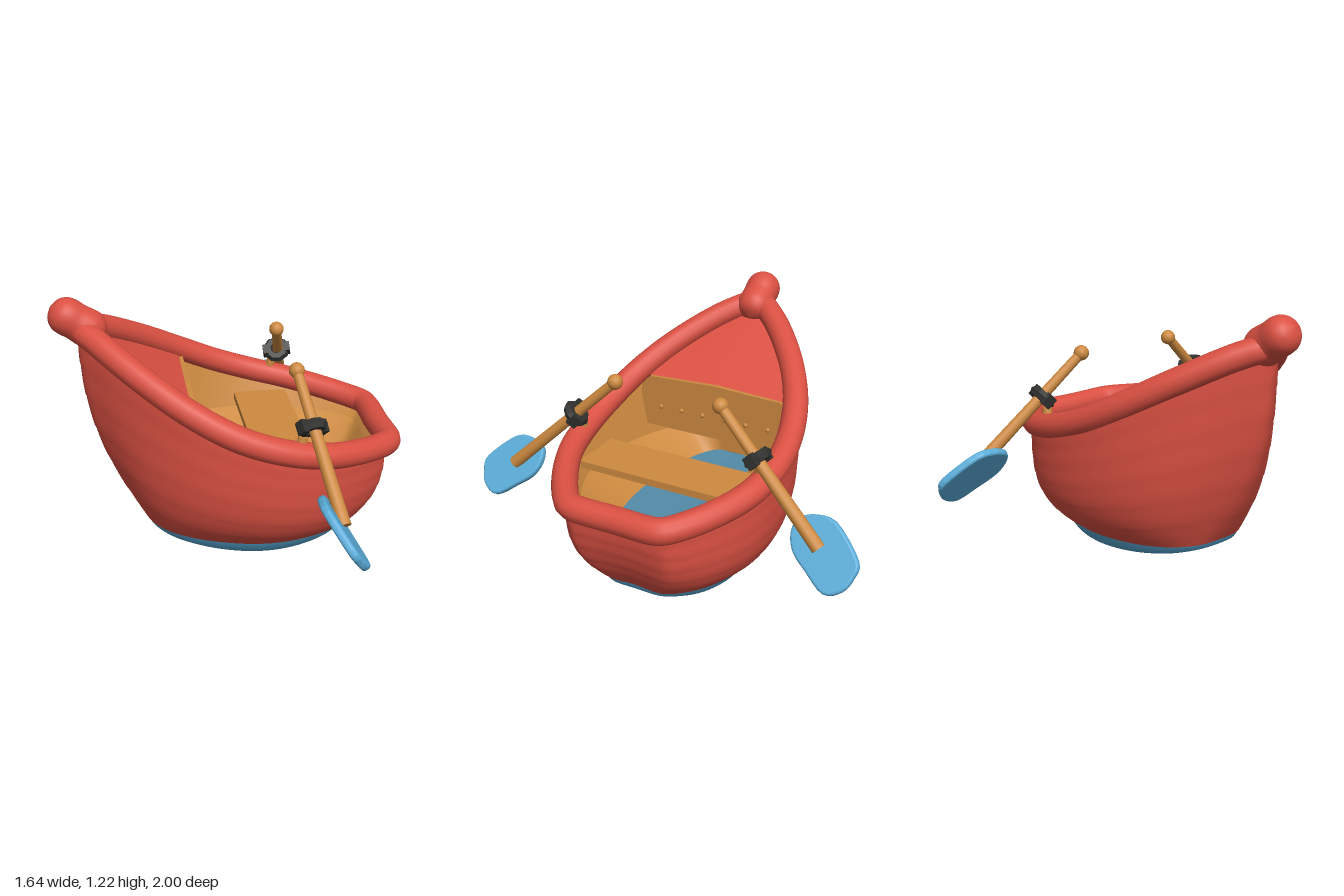
import * as THREE from 'three';

const mat = (name, color, side = THREE.FrontSide) => {
  const m = new THREE.MeshStandardMaterial({ color, side });
  m.name = name;
  return m;
};

const V = (x, y, z) => new THREE.Vector3(x, y, z);
const N = 120; // samples around each closed outline

// Half outline (bow to stern on +z), mirrored into a closed smooth curve
function outline(half) {
  const pts = half.map(p => V(...p));
  for (let i = half.length - 2; i > 0; i--) pts.push(V(half[i][0], half[i][1], -half[i][2]));
  return new THREE.CatmullRomCurve3(pts, true);
}
const sample = curve => Array.from({ length: N }, (_, i) => curve.getPoint(i / N));

// Skin a stack of rings; open rings are used for the deck
function loft(rings, closed = true) {
  const n = rings[0].length, index = [];
  for (let j = 0; j < rings.length - 1; j++) {
    for (let i = 0; i < (closed ? n : n - 1); i++) {
      const k = (i + 1) % n, a = j * n + i, b = j * n + k, c = b + n, d = a + n;
      index.push(a, b, c, a, c, d);
    }
  }
  const g = new THREE.BufferGeometry();
  g.setAttribute('position', new THREE.Float32BufferAttribute(rings.flat().flatMap(p => [p.x, p.y, p.z]), 3));
  g.setIndex(index);
  g.computeVertexNormals();
  return g;
}

// Turn geometry built along +y to run from a towards b
const aim = (g, a, b) => g
  .applyQuaternion(new THREE.Quaternion().setFromUnitVectors(V(0, 1, 0), b.clone().sub(a).normalize()))
  .translate(a.x, a.y, a.z);

// Tapered rod between two points
function rod(a, b, ra, rb, sides = 12) {
  const length = a.distanceTo(b);
  return aim(new THREE.CylinderGeometry(rb, ra, length, sides).translate(0, length / 2, 0), a, b);
}

export function createModel() {
  const red = mat('red paint', 0xda5042, THREE.DoubleSide);
  const wood = mat('wood', 0xcd8a40, THREE.DoubleSide);
  const blue = mat('blue paint', 0x5aacd8);
  const floorBlue = mat('floor blue', 0x548ca8, THREE.DoubleSide);
  const iron = mat('dark iron', 0x31322f);
  iron.flatShading = true;

  const boat = new THREE.Group();
  boat.name = 'rowingBoat';
  const add = (name, geo, material, parent = boat) => {
    const m = new THREE.Mesh(geo, material);
    m.name = name;
    parent.add(m);
  };

  // Key outlines: centre line of the gunwale and edge of the keel plate
  const rimCurve = outline([
    [-0.675, 1.075, 0], [-0.6, 1.04, 0.115], [-0.4, 0.917, 0.305], [-0.2, 0.797, 0.427],
    [0, 0.695, 0.487], [0.2, 0.625, 0.499], [0.4, 0.578, 0.464], [0.6, 0.541, 0.362],
    [0.738, 0.52, 0.25], [0.757, 0.517, 0.21], [0.757, 0.515, 0]]);
  const rim = sample(rimCurve);
  const base = sample(outline([
    [-0.41, 0.11, 0], [-0.39, 0.105, 0.12], [-0.31, 0.095, 0.22], [-0.17, 0.08, 0.29],
    [0, 0.07, 0.335], [0.15, 0.065, 0.35], [0.3, 0.065, 0.335], [0.46, 0.07, 0.28],
    [0.55, 0.075, 0.21], [0.6, 0.08, 0.14], [0.605, 0.088, 0]]));

  // Hull: rings bulge outward from keel plate to gunwale, with slightly overlapping planks
  const hullTop = rim.map(p => V(p.x - 0.02 * Math.abs(p.x), p.y, p.z * 1.06));
  const hullRing = (t, swell) => base.map((b, i) => {
    const r = hullTop[i];
    const power = 2.4 + 2 * THREE.MathUtils.smoothstep(Math.abs(r.z), 0.1, 0.45);
    const f = 1 - Math.pow(1 - t, power);
    return V(0.1 + (b.x + (r.x - b.x) * f - 0.1) * swell, b.y + (r.y - b.y) * t, (b.z + (r.z - b.z) * f) * swell);
  });
  const hullRings = [];
  const planks = 6;
  for (let k = 0; k < planks; k++) {
    for (const [part, swell] of [[0, 1.004], [0.3, 1.003], [0.6, 1.0015], [0.9, 1]]) {
      hullRings.push(hullRing((k + part) / planks, swell));
    }
  }
  hullRings.push(hullTop);
  add('hull', loft(hullRings), red);

  // Curved keel plate under the hull
  const under = x => 0.004 + 0.24 * (x - 0.15) ** 2;
  const sole = (sx, sz) => base.map(p => V(0.1 + (p.x - 0.1) * sx, under(p.x), p.z * sz));
  add('keelPlate', loft([sole(0.95, 0), sole(0.97, 0.91), base]), blue);

  // Inside: steep wall, dished floorboards and a painted floor panel running on below the bulkhead
  const inside = (ring, fn) => ring.map(p => {
    const q = fn(p);
    return V(Math.max(q.x, -0.4), Math.min(q.y, 0.76), q.z);
  });
  const wallTop = inside(rim, p => p);
  const wallFoot = inside(rim, p => V(p.x * 0.92, 0.44, p.z * 0.87));
  const floorEdge = inside(base, p => V(p.x * 1.02, 0.32, p.z * 0.63));
  add('innerWall', loft([wallTop, wallFoot]), wood);
  add('floorboards', loft([wallFoot, floorEdge]), wood);
  add('floorPanel', loft([floorEdge, floorEdge.map(p => V(p.x, 0.315, 0))]), floorBlue);

  // Gunwale with a rounded bow knob that flows into it
  add('gunwale', new THREE.TubeGeometry(rimCurve, 180, 0.061, 14, true), red);
  const knobProfile = new THREE.SplineCurve([[0, -0.09], [0.05, -0.074], [0.08, -0.04], [0.088, 0], [0.086, 0.045],
    [0.09, 0.09], [0.088, 0.13], [0.06, 0.175], [0, 0.195]].map(p => new THREE.Vector2(...p))).getPoints(32);
  knobProfile.forEach(p => { p.x = Math.max(p.x, 0); });
  add('bowKnob', aim(new THREE.LatheGeometry(knobProfile, 28), V(-0.73, 1.133, 0), V(-0.59, 1.04, 0)), red);

  // Foredeck spanning the bow between the gunwales
  const deckRow = (x, y, z) => [-1, -0.5, 0, 0.5, 1].map(s => V(x, y - 0.015 * Math.abs(s), z * s));
  const deckRings = rim.slice(0, 18).map(p => deckRow(p.x, p.y - 0.012, p.z));
  deckRings.push(deckRow(-0.195, 0.783, 0.425));
  add('foredeck', loft(deckRings, false), red);

  // Bulkhead below the deck edge, with a row of pegs
  const panel = new THREE.Shape([[-0.4, 0.5], [0.4, 0.5], [0.415, 0.6], [0.415, 0.73], [0.36, 0.77], [0, 0.785],
    [-0.36, 0.77], [-0.415, 0.73], [-0.415, 0.6]].map(p => new THREE.Vector2(...p)));
  add('bulkhead', new THREE.ExtrudeGeometry(panel, { depth: 0.025, bevelEnabled: false })
    .rotateY(Math.PI / 2).translate(-0.2, 0, 0), wood);
  for (let i = 0; i < 6; i++) {
    add('peg', new THREE.SphereGeometry(0.012, 8, 6).translate(-0.172, 0.615, -0.3 + i * 0.12), wood);
  }

  // Bench
  add('bench', new THREE.BoxGeometry(0.275, 0.035, 0.88).translate(0.24, 0.5, -0.005), wood);

  // Oars: s is the side of the boat, dx a small shift along it
  const bladeShape = new THREE.Shape(new THREE.SplineCurve([[-0.145, 0.75], [-0.14, 0.85], [-0.01, 0.98],
    [0.06, 0.98], [0.12, 0.95], [0.15, 0.88], [0.08, 0.785], [0.02, 0.715], [-0.05, 0.685], [-0.115, 0.695],
    [-0.145, 0.75]].map(p => new THREE.Vector2(...p))).getPoints(40).slice(0, -1));
  for (const [s, dx] of [[1, 0], [-1, 0.028]]) {
    const oar = new THREE.Group();
    oar.name = s > 0 ? 'frontOar' : 'backOar';
    const top = V(0.285 + dx * 0.3, 0.925, 0.275 * s);
    const end = V(0.395 + dx, 0.425, 0.815 * s);
    add('shaft', rod(top, end, 0.024, 0.032), wood, oar);
    add('handleKnob', new THREE.SphereGeometry(0.037, 14, 10).translate(top.x, top.y, top.z), wood, oar);

    // Blade lies in a plane tilted about the z axis
    const blade = new THREE.ExtrudeGeometry(bladeShape, {
      depth: 0.01, bevelEnabled: true, bevelThickness: 0.014, bevelSize: 0.012, bevelSegments: 3
    }).translate(0, 0, -0.005);
    const along = V(0.57, -0.82, 0), across = V(0, 0, s);
    blade.applyMatrix4(new THREE.Matrix4().makeBasis(along, across, along.clone().cross(across)));
    add('blade', blade.translate(0.39 + dx, 0.4, 0), blue, oar);

    // Oarlock collar with two ears, on a short wooden pin
    const lock = new THREE.Group();
    lock.name = 'oarlock';
    lock.position.copy(top).lerp(end, 0.38);
    lock.position.x -= 0.008;
    lock.quaternion.setFromUnitVectors(V(0, 0, 1), end.clone().sub(top).normalize());
    lock.rotateZ(-0.4 * s);
    add('collar', new THREE.TorusGeometry(0.044, 0.027, 6, 9), iron, lock);
    for (const e of [-1, 1]) {
      add('ear', new THREE.BoxGeometry(0.03, 0.05, 0.06).translate(e * 0.056, 0, 0), iron, lock);
    }
    oar.add(lock);
    add('pin', rod(V(0.26 + dx, 0.6, 0.48 * s), V(0.28 + dx, 0.69, 0.475 * s), 0.026, 0.022), wood, oar);
    boat.add(oar);
  }
  return boat;
}
